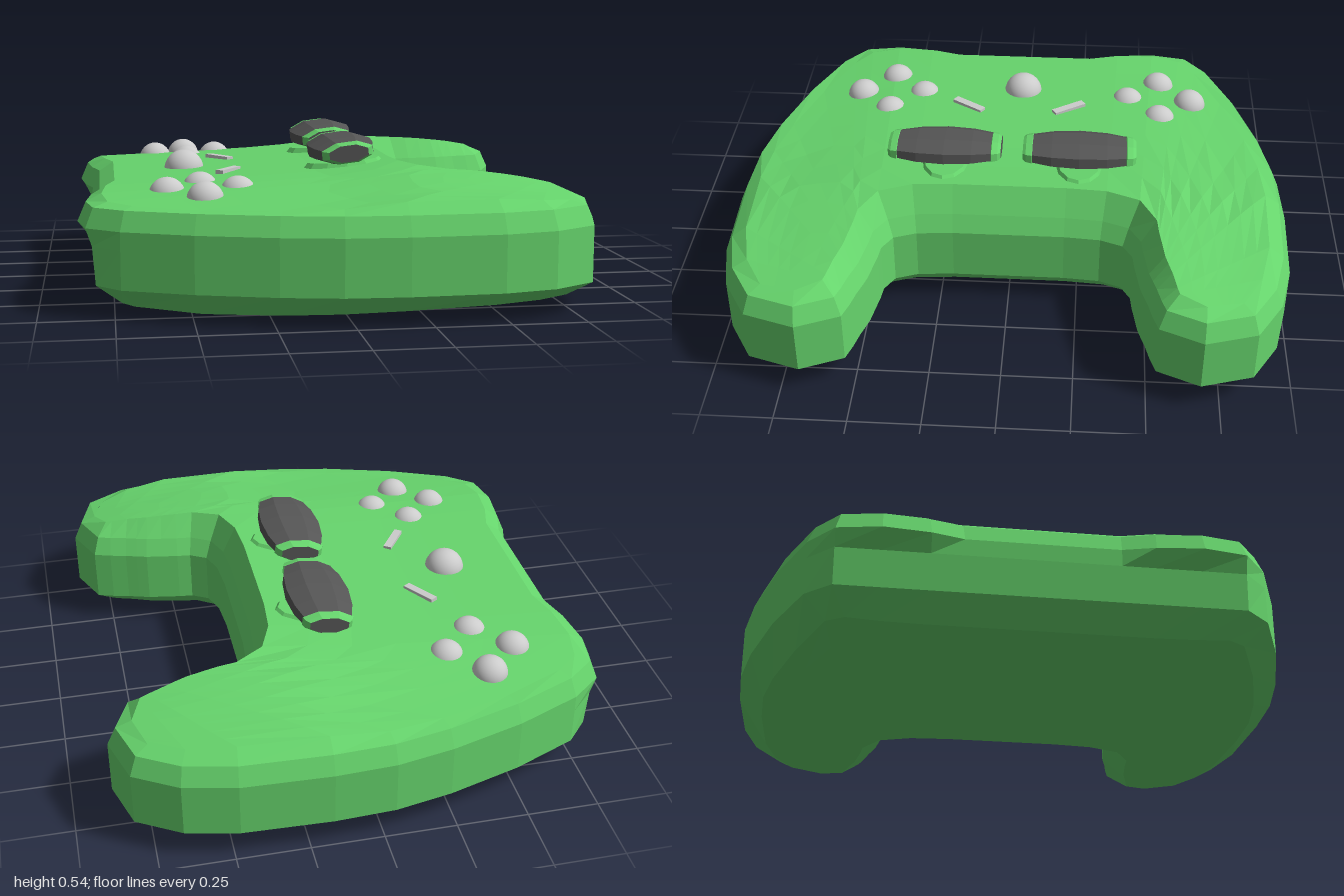
import * as THREE from 'three';

const mat = (color) => new THREE.MeshStandardMaterial({ color, flatShading: true });
const green = mat(0x66d46c), dark = mat(0x555555);
const grey = new THREE.MeshStandardMaterial({ color: 0xcccccc });

function add(parent, name, geometry, material, x = 0, y = 0, z = 0) {
  const mesh = new THREE.Mesh(geometry, material);
  mesh.name = name;
  mesh.position.set(x, y, z);
  parent.add(mesh);
  return mesh;
}

// Piecewise linear lookup through [position, value] pairs
function lerpTable(table, t) {
  if (t <= table[0][0]) return table[0][1];
  for (let i = 1; i < table.length; i++) {
    const [a, va] = table[i - 1], [b, vb] = table[i];
    if (t <= b) return va + ((vb - va) * (t - a)) / (b - a);
  }
  return table[table.length - 1][1];
}

// Height of the upper and lower faces over the plan
const edge = (z) => THREE.MathUtils.smoothstep(Math.abs(z), 0.42, 0.95);
const topY = (x, z) => lerpTable([[-0.84, 0.385], [-0.4, 0.4], [0, 0.42], [0.27, 0.452],
  [0.5, 0.44], [0.65, 0.425], [0.8, 0.4]], x) - 0.05 * edge(z);
const bottomY = (x, z) => lerpTable([[-0.78, 0.025], [-0.5, 0], [-0.2, 0], [0.8, 0.03]], x) + 0.025 * edge(z);

// Plan stations of one half: outer edge x, z then inner edge x, z
const half = [
  [-0.82, 0, 0.33, 0], [-0.82, 0.26, 0.33, 0.2], [-0.85, 0.37, 0.34, 0.33], [-0.867, 0.53, 0.37, 0.41],
  [-0.84, 0.68, 0.43, 0.445], [-0.73, 0.77, 0.48, 0.45], [-0.5, 0.87, 0.54, 0.46], [-0.24, 0.95, 0.6, 0.47],
  [-0.04, 0.99, 0.64, 0.482], [0.17, 1, 0.68, 0.495], [0.48, 0.99, 0.74, 0.51], [0.66, 0.95, 0.8, 0.53],
  [0.81, 0.86, 0.865, 0.68],
];

function bodyGeometry() {
  const stations = [...half.slice(1).reverse().map(([a, b, c, d]) => [a, -b, c, -d]), ...half];
  const n = stations.length;
  const outline = [...stations.map((s) => [s[0], s[1]]), ...stations.map((s) => [s[2], s[3]]).reverse()];
  const count = outline.length;

  // Outline moved inward by a mitred distance, kept behind minX
  const inset = (d, minX) => outline.map(([x, z], i) => {
    const [px, pz] = outline[(i + count - 1) % count], [qx, qz] = outline[(i + 1) % count];
    const n1 = new THREE.Vector2(z - pz, px - x).normalize();
    const n2 = new THREE.Vector2(qz - z, x - qx).normalize();
    const m = n1.clone().add(n2).multiplyScalar(d / (1 + n1.dot(n2)));
    return [Math.max(x + m.x, minX), z + m.y];
  });

  const pos = [], index = [];
  const vertex = (x, y, z) => pos.push(x, y, z) / 3 - 1;
  const quad = (a, b, c, d) => index.push(a, b, c, b, d, c);

  // Rounded wall from the top rim down to the bottom rim
  const levels = [[0.08, -1, topY], [0.028, -1, () => 0.355], [0, -1, () => 0.29],
    [0, -0.82, () => 0.23], [0, -0.81, () => 0.1], [0.085, -0.725, bottomY]];
  const plans = levels.map(([d, minX]) => inset(d, minX));
  const rings = plans.map((p, k) => p.map(([x, z]) => vertex(x, levels[k][2](x, z), z)));
  for (let k = 0; k + 1 < rings.length; k++) {
    for (let i = 0; i < count; i++) {
      const j = (i + 1) % count;
      quad(rings[k][i], rings[k + 1][i], rings[k][j], rings[k + 1][j]);
    }
  }

  // Crowned faces laid as ribs between outer and inner edge
  const cols = 7;
  const cap = (plan, height, up) => {
    const rows = stations.map((_, s) => {
      const a = plan[s], b = plan[count - 1 - s];
      return Array.from({ length: cols + 1 }, (_, c) => {
        const t = c / cols, x = a[0] + (b[0] - a[0]) * t, z = a[1] + (b[1] - a[1]) * t;
        return vertex(x, height(x, z), z);
      });
    });
    for (let s = 0; s + 1 < n; s++) {
      for (let c = 0; c < cols; c++) {
        const [p, q, r, t] = [rows[s][c], rows[s + 1][c], rows[s][c + 1], rows[s + 1][c + 1]];
        if (up) quad(p, q, r, t); else quad(p, r, q, t);
      }
    }
  };
  cap(plans[0], topY, true);
  cap(plans[plans.length - 1], bottomY, false);

  const g = new THREE.BufferGeometry();
  g.setAttribute('position', new THREE.Float32BufferAttribute(pos, 3));
  g.setIndex(index);
  g.computeVertexNormals();
  return g;
}

// Eight-sided barrel lying along z, from [radius, z] points
function barrel(points) {
  const g = new THREE.LatheGeometry(points.map(([r, z]) => new THREE.Vector2(r, z)), 8, Math.PI / 8);
  return g.rotateX(Math.PI / 2).scale(1.06, 0.44, 1);
}

function thumbstick(side) {
  const stick = new THREE.Group();
  stick.name = side > 0 ? 'leftThumbstick' : 'rightThumbstick';
  stick.position.set(0.065, 0.49, side * 0.245);
  const pad = new THREE.Group();
  pad.name = 'thumbPad';
  pad.rotation.z = 0.12;
  stick.add(pad);
  add(pad, 'padCore', barrel([[0.087, -0.17], [0.106, -0.1], [0.115, 0], [0.106, 0.1], [0.087, 0.17]]), dark);
  for (const end of [-1, 1]) {
    const ordered = (pts) => (end > 0 ? pts : pts.map(([r, z]) => [r, -z]).reverse());
    add(pad, 'padBand', barrel(ordered([[0.087, 0.17], [0.092, 0.172], [0.084, 0.194], [0.07, 0.205]])), green);
    add(pad, 'padEnd', barrel(ordered([[0.07, 0.205], [0, 0.205]])), dark);
  }
  // Low oval socket below the pad
  const socket = add(stick, 'socket', new THREE.CylinderGeometry(0.13, 0.165, 0.04, 12), green, 0.015, -0.065, 0);
  socket.scale.z = 0.6;
  socket.rotation.z = 0.08;
  return stick;
}

export function createModel() {
  const model = new THREE.Group();
  model.name = 'gamepad';
  add(model, 'body', bodyGeometry(), green);
  for (const side of [-1, 1]) model.add(thumbstick(side));

  // Two diamonds of round buttons
  const ball = new THREE.SphereGeometry(0.063, 24, 16);
  for (const [name, cx, cz] of [['rightButton', -0.447, -0.547], ['leftButton', -0.447, 0.505]]) {
    for (const [dx, dz] of [[0.12, 0], [-0.12, 0], [0, 0.122], [0, -0.122]]) {
      add(model, name, ball, grey, cx + dx, 0.366, cz + dz);
    }
  }
  add(model, 'centreButton', new THREE.SphereGeometry(0.073, 24, 16), grey, -0.48, 0.388, -0.01);

  // Slim slanted menu keys
  for (const side of [-1, 1]) {
    const key = add(model, 'menuKey', new THREE.BoxGeometry(0.03, 0.03, 0.135), grey, -0.333, 0.4, side * 0.195);
    key.rotation.y = side * -0.58;
  }
  return model;
}
